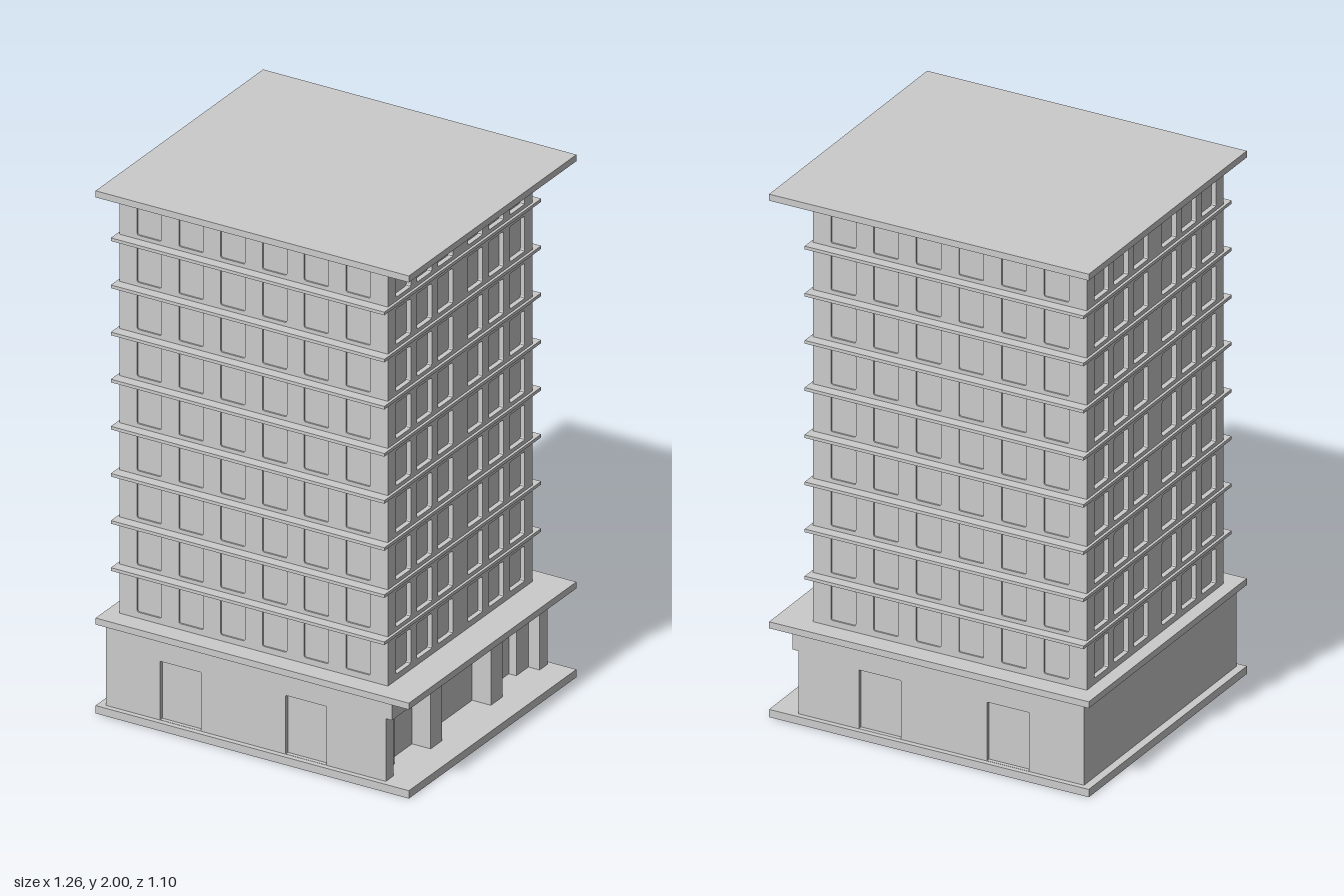
import * as THREE from 'three';

const mat = new THREE.MeshStandardMaterial({ color: 0xcccccc, flatShading: true });

// Box given by its min and max corners
function block(name, x0, x1, y0, y1, z0, z1) {
  const mesh = new THREE.Mesh(new THREE.BoxGeometry(x1 - x0, y1 - y0, z1 - z0), mat);
  mesh.position.set((x0 + x1) / 2, (y0 + y1) / 2, (z0 + z1) / 2);
  mesh.name = name;
  return mesh;
}

// Rectangular hole with slightly rounded corners
function opening(cx, y0, y1, w, r) {
  const a = cx - w / 2, b = cx + w / 2;
  const p = new THREE.Path();
  p.moveTo(a + r, y0);
  p.lineTo(b - r, y0);
  p.quadraticCurveTo(b, y0, b, y0 + r);
  p.lineTo(b, y1 - r);
  p.quadraticCurveTo(b, y1, b - r, y1);
  p.lineTo(a + r, y1);
  p.quadraticCurveTo(a, y1, a, y1 - r);
  p.lineTo(a, y0 + r);
  p.quadraticCurveTo(a, y0, a + r, y0);
  return p;
}

// Flat wall in x/y with holes; its outer face lies on z = 0
function wall(name, x0, x1, y0, y1, depth, holes) {
  const s = new THREE.Shape();
  s.moveTo(x0, y0);
  s.lineTo(x1, y0);
  s.lineTo(x1, y1);
  s.lineTo(x0, y1);
  s.closePath();
  s.holes.push(...holes);
  const geo = new THREE.ExtrudeGeometry(s, { depth, bevelEnabled: false, curveSegments: 2 });
  geo.translate(0, 0, -depth);
  const mesh = new THREE.Mesh(geo, mat);
  mesh.name = name;
  return mesh;
}

export function createModel() {
  const model = new THREE.Group();
  model.name = 'officeBuilding';

  // Horizontal slabs
  model.add(block('baseSlab', -0.63, 0.63, 0, 0.03, -0.55, 0.55));
  model.add(block('podiumRoof', -0.63, 0.63, 0.34, 0.365, -0.55, 0.55));
  model.add(block('towerRoof', -0.63, 0.63, 1.975, 2, -0.55, 0.55));

  // Podium core, beam over the shopfront, and back wall
  const podium = new THREE.Group();
  podium.name = 'podium';
  podium.add(block('podiumCore', -0.6, 0.45, 0.03, 0.34, -0.515, 0.515));
  podium.add(block('shopfrontBeam', 0.44, 0.55, 0.27, 0.34, -0.53, 0.53));

  // Front and back podium walls with two door recesses each
  const doors = () => [-0.3, 0.205].map((x) => opening(x, 0.031, 0.255, 0.165, 0.002));
  const front = wall('podiumFrontWall', -0.6, 0.525, 0.03, 0.34, 0.015, doors());
  front.position.z = 0.53;
  const back = wall('podiumBackWall', -0.6, 0.525, 0.03, 0.34, 0.015, doors());
  back.position.z = -0.515;
  podium.add(front, back);

  // Recessed shopfront: end walls, inner posts and columns
  for (const s of [-1, 1]) {
    const pier = (name, x1, a, b) =>
      podium.add(block(name, 0.44, x1, 0.03, 0.27, Math.min(s * a, s * b), Math.max(s * a, s * b)));
    pier('endWall', 0.525, 0.48, 0.518);
    pier('innerPost', 0.48, 0.4, 0.48);
    pier('column', 0.525, 0.16, 0.235);
  }
  model.add(podium);

  // Tower core, whose faces form the window panes
  const floors = 9, pitch = 0.1803, base = 0.365;
  const tower = new THREE.Group();
  tower.name = 'tower';
  const long = 0.006, side = 0.018;
  tower.add(block('windowPanes', -0.58 + side, 0.5 - side, base, 1.975, -0.475 + long, 0.475 - long));

  // Window openings, six columns on every floor
  const windows = (centres) => {
    const list = [];
    for (let f = 0; f < floors; f++) {
      const y = base + f * pitch;
      for (const c of centres) list.push(opening(c, y + 0.023, y + 0.158, 0.098, 0.007));
    }
    return list;
  };
  const longCentres = [-0.42, -0.252, -0.084, 0.084, 0.252, 0.42];
  const sideCentres = [-0.374, -0.236, -0.098, 0.098, 0.236, 0.374];
  for (const s of [1, -1]) {
    const face = wall('towerLongWall', -0.54, 0.54, base, 1.975, long, windows(longCentres));
    face.position.set(-0.04, 0, s * 0.475);
    face.rotation.y = s > 0 ? 0 : Math.PI;
    const end = wall('towerSideWall', -0.475 + long, 0.475 - long, base, 1.975, side, windows(sideCentres));
    end.position.x = -0.04 + s * 0.54;
    end.rotation.y = s * Math.PI / 2;
    tower.add(face, end);
  }

  // Thin ledges between floors
  for (let f = 1; f < floors; f++) {
    const y = base + f * pitch;
    tower.add(block('floorLedge', -0.59, 0.51, y - 0.004, y + 0.008, -0.515, 0.515));
  }
  model.add(tower);
  return model;
}
